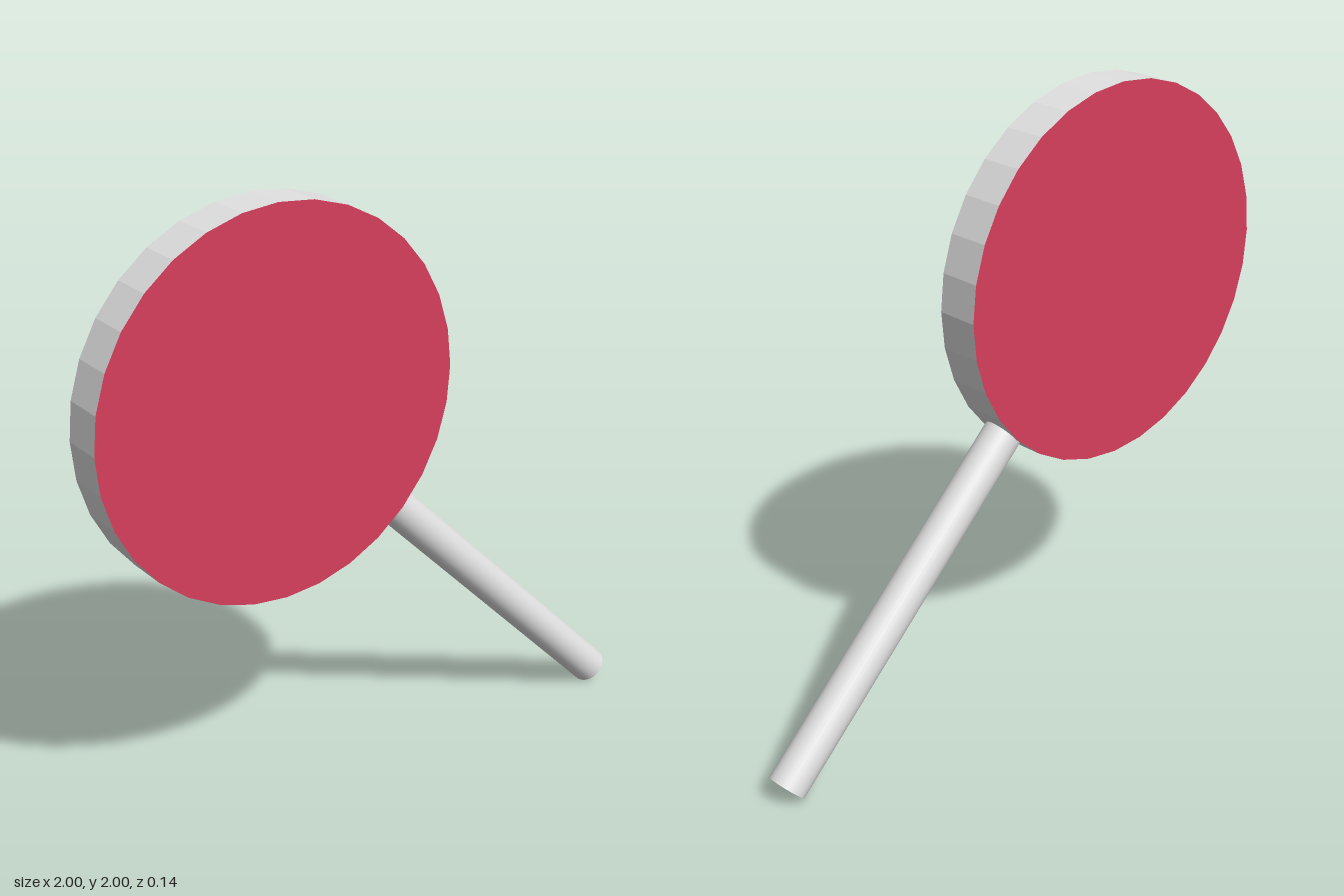
import * as THREE from 'three';

export function createModel() {
  const group = new THREE.Group();
  const red = new THREE.MeshStandardMaterial({ color: 0xd63e5c });
  red.name = 'red';
  const white = new THREE.MeshStandardMaterial({ color: 0xe2e2e2 });
  white.name = 'paleGrey';

  const centre = new THREE.Vector3(-0.38, 1.38, 0);
  const radius = 0.62;

  // Cylinder with one colour on its side and another on both caps
  function rod(name, r, length, sides) {
    const mesh = new THREE.Mesh(
      new THREE.CylinderGeometry(r, r, length, sides),
      [white, red, red]
    );
    mesh.name = name;
    group.add(mesh);
    return mesh;
  }

  // Round sign: faceted pale rim, red faces front and back
  const disc = rod('disc', radius, 0.144, 32);
  disc.geometry = disc.geometry.toNonIndexed();
  disc.geometry.computeVertexNormals();
  disc.rotation.x = Math.PI / 2;
  disc.position.copy(centre);

  // Smooth handle running diagonally down from the rim
  const start = 0.56;
  const end = 1.336 * Math.SQRT2;
  const along = new THREE.Vector3(1, -1, 0).normalize();
  const handle = rod('handle', 0.0625, end - start, 32);
  handle.rotation.z = Math.PI / 4;
  handle.position.copy(centre).addScaledVector(along, (start + end) / 2);

  return group;
}
